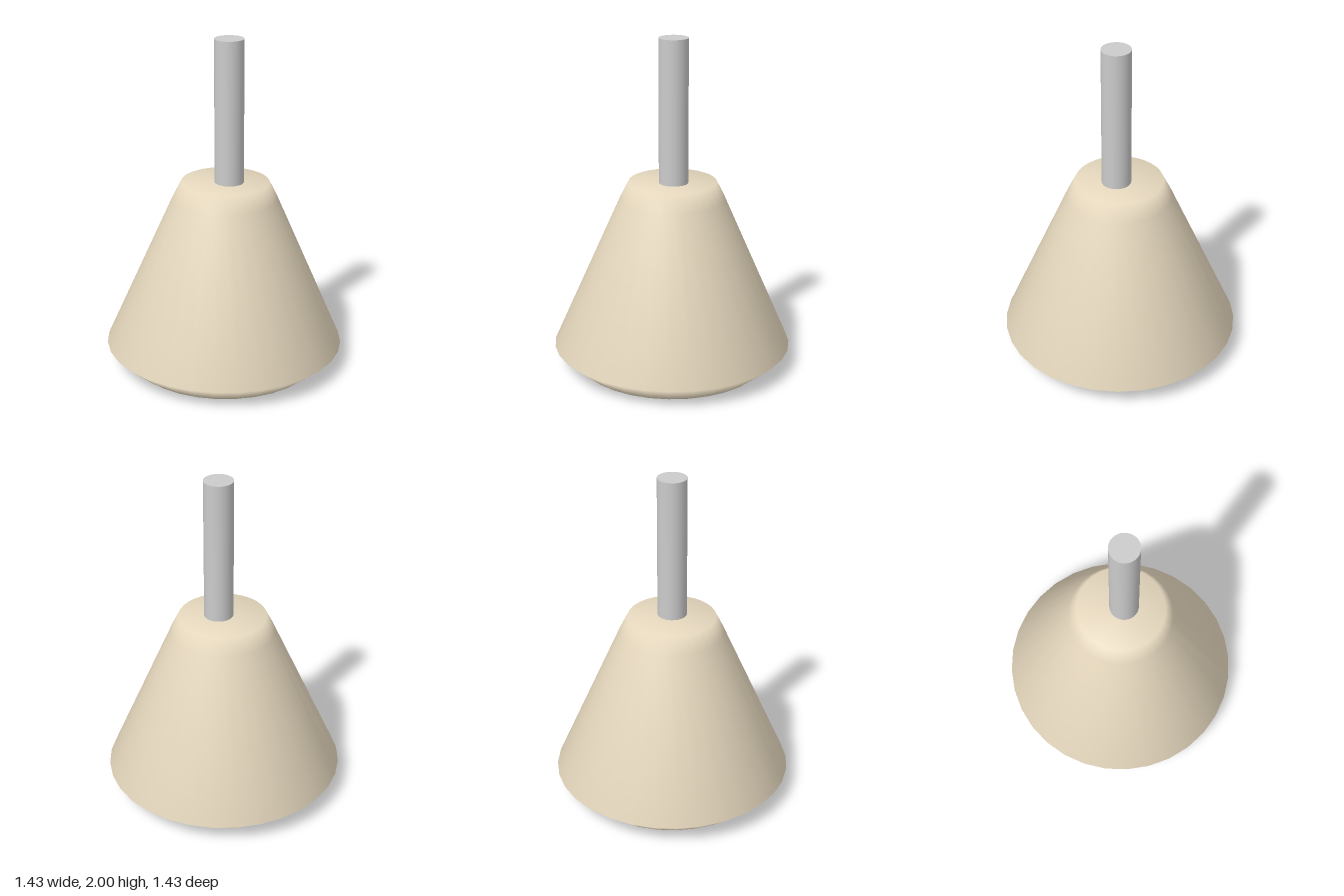
import * as THREE from 'three';

const SIDES = 32;

export function createModel() {
  const model = new THREE.Group();
  model.name = 'hangingShade';

  // Thin conical shade: inward rim, turned-in lower edge, wall, soft shoulder, flat top
  const profile = [
    [0.535, 0.003], [0.578, 0], [0.716, 0.117], [0.312, 1.035], [0.262, 1.135], [0, 1.136],
  ].map(([r, y]) => new THREE.Vector2(r, y));
  const shade = new THREE.Mesh(
    new THREE.LatheGeometry(profile, SIDES),
    new THREE.MeshStandardMaterial({ color: 0xe6d8be, side: THREE.DoubleSide }),
  );
  shade.name = 'shade';
  // It leans very slightly
  shade.rotation.z = -0.008;
  shade.position.y = 0.005;
  model.add(shade);

  // Rod, set a little off centre
  const rod = new THREE.Mesh(
    new THREE.CylinderGeometry(0.087, 0.087, 0.87, SIDES),
    new THREE.MeshStandardMaterial({ color: 0xcccccc }),
  );
  rod.name = 'rod';
  rod.position.set(0.032, 1.565, 0.008);
  model.add(rod);

  return model;
}
